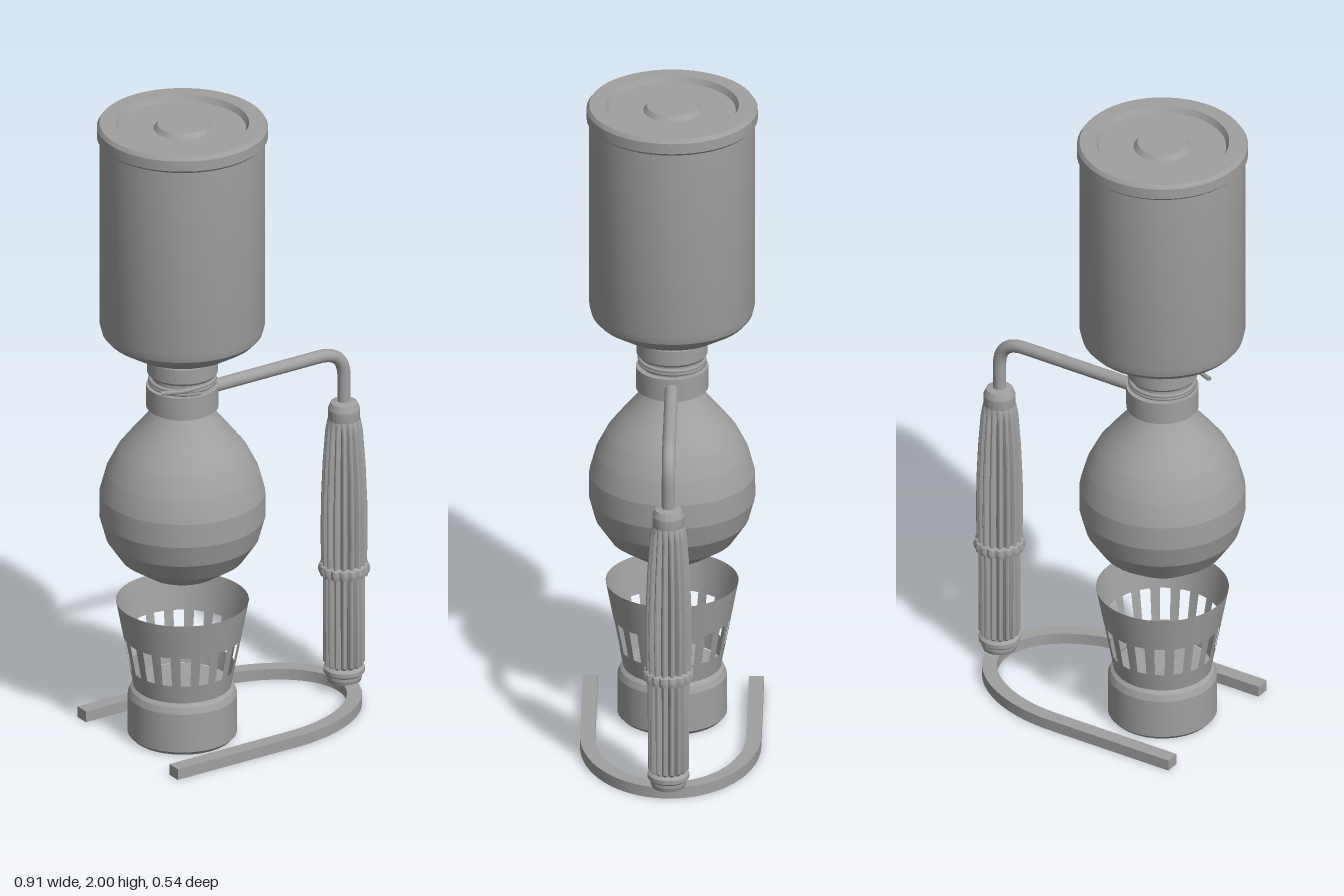
import * as THREE from 'three';
import { toCreasedNormals } from 'three/addons/utils/BufferGeometryUtils.js';

const gray = new THREE.MeshStandardMaterial({ color: 0xa0a0a0, side: THREE.DoubleSide });
gray.name = 'gray';

const AXIS = -0.2; // x of the vessel stack
const HANDLE = 0.377; // x of the handle

function add(parent, name, geometry, x = 0) {
  const mesh = new THREE.Mesh(geometry, gray);
  mesh.name = name;
  mesh.position.x = x;
  parent.add(mesh);
  return mesh;
}

const points = (list) => list.map(([r, y]) => new THREE.Vector2(r, y));

// Turned part; profile runs from bottom to top as [radius, y]
const turned = (profile, crease = 0.3, segments = 48) =>
  toCreasedNormals(new THREE.LatheGeometry(points(profile), segments), crease);

// Turned part with flutes; each profile entry is [radius, y, flute depth]
function fluted(profile, lobes = 16) {
  const geo = new THREE.LatheGeometry(points(profile), lobes * 6);
  const pos = geo.attributes.position;
  for (let i = 0; i < pos.count; i++) {
    const depth = profile[i % profile.length][2];
    const x = pos.getX(i), z = pos.getZ(i), r = Math.hypot(x, z);
    if (r < 1e-4) continue;
    const wave = Math.abs(Math.sin((Math.atan2(x, z) * lobes) / 2));
    const k = 1 - (depth * (1 - wave)) / r;
    pos.setX(i, x * k);
    pos.setZ(i, z * k);
  }
  return toCreasedNormals(geo, 0.5);
}

function createBase() {
  // U-shaped foot: straight legs joined by half an ellipse
  const cx = 0.03, end = -0.395;
  const shape = new THREE.Shape();
  shape.moveTo(end, -0.27);
  shape.lineTo(cx, -0.27);
  shape.absellipse(cx, 0, 0.37, 0.27, -Math.PI / 2, Math.PI / 2, false);
  shape.lineTo(end, 0.27);
  shape.lineTo(end, 0.225);
  shape.lineTo(cx, 0.225);
  shape.absellipse(cx, 0, 0.325, 0.225, Math.PI / 2, -Math.PI / 2, true);
  shape.lineTo(end, -0.225);
  const geo = new THREE.ExtrudeGeometry(shape, { depth: 0.035, bevelEnabled: false, curveSegments: 24 });
  geo.rotateX(-Math.PI / 2);
  return toCreasedNormals(geo, 0.5);
}

function createBurner() {
  const burner = new THREE.Group();
  burner.name = 'burner';
  burner.position.x = AXIS;
  add(burner, 'burnerBase', turned([
    [0, 0], [0.152, 0], [0.163, 0.012], [0.163, 0.135], [0.155, 0.155], [0.14, 0.167], [0, 0.167],
  ]));
  // Flared wind guard with a row of slots
  const radius = (y) => 0.146 + ((y - 0.165) * 0.052) / 0.275;
  const band = (y0, y1, n, start, length) => new THREE.LatheGeometry(
    points([[radius(y0), y0], [radius(y1), y1]]), n, start, length);
  add(burner, 'guardLower', band(0.165, 0.225, 54, 0, Math.PI * 2));
  add(burner, 'guardUpper', band(0.325, 0.44, 54, 0, Math.PI * 2));
  const slots = 18, step = (Math.PI * 2) / slots;
  for (let i = 0; i < slots; i++) {
    add(burner, 'guardBar', band(0.225, 0.325, 2, (i - 0.24) * step, 0.48 * step));
  }
  return burner;
}

function createVessels() {
  const vessels = new THREE.Group();
  vessels.name = 'vessels';
  vessels.position.x = AXIS;
  add(vessels, 'lowerBulb', turned([
    [0, 0.518], [0.06, 0.518], [0.11, 0.535], [0.185, 0.585], [0.229, 0.65], [0.248, 0.72], [0.247, 0.795],
    [0.228, 0.865], [0.195, 0.93], [0.152, 0.985], [0.11, 1.035], [0.092, 1.065], [0.09, 1.09],
  ], 0.22));
  add(vessels, 'clamp', turned([
    [0.085, 1.075], [0.108, 1.075], [0.108, 1.145], [0.085, 1.145],
  ]));
  add(vessels, 'neck', turned([[0.09, 1.14], [0.09, 1.19]]));
  add(vessels, 'collar', turned([
    [0.085, 1.182], [0.1, 1.182], [0.106, 1.19], [0.106, 1.236], [0.098, 1.25], [0.085, 1.255],
  ]));
  // Wire wound round the neck with a loose end
  const coil = [];
  for (let i = 0; i <= 48; i++) {
    const a = (i / 48) * Math.PI * 4 + Math.PI / 2;
    coil.push(new THREE.Vector3(Math.cos(a) * 0.096, 1.152 + (i / 48) * 0.018, Math.sin(a) * 0.096));
  }
  coil.push(new THREE.Vector3(-0.06, 1.17, 0.092), new THREE.Vector3(-0.122, 1.17, 0.07));
  add(vessels, 'neckWire', new THREE.TubeGeometry(new THREE.CatmullRomCurve3(coil), 140, 0.007, 6));
  add(vessels, 'upperVessel', turned([
    [0, 1.25], [0.115, 1.25], [0.165, 1.268], [0.225, 1.305], [0.24, 1.322], [0.247, 1.35], [0.247, 1.95],
  ]));
  add(vessels, 'lid', turned([
    [0, 1.945], [0.245, 1.945], [0.255, 1.955], [0.255, 1.988], [0.247, 2], [0.199, 2],
    [0.19, 1.982], [0.086, 1.982], [0.075, 1.997], [0, 1.997],
  ]));
  return vessels;
}

function createHandle() {
  const handle = new THREE.Group();
  handle.name = 'handle';
  handle.position.x = HANDLE;
  add(handle, 'handleFoot', turned([
    [0, 0.033], [0.05, 0.033], [0.054, 0.045], [0.054, 0.055], [0.062, 0.062], [0.062, 0.075], [0.05, 0.085],
  ]));
  add(handle, 'lowerGrip', fluted([
    [0.05, 0.08, 0], [0.062, 0.092, 0.013], [0.063, 0.36, 0.013], [0.063, 0.39, 0.01],
  ]));
  add(handle, 'gripRing', fluted([
    [0.055, 0.38, 0], [0.075, 0.384, 0.008], [0.078, 0.397, 0.008], [0.075, 0.412, 0.008], [0.06, 0.418, 0],
  ]));
  add(handle, 'upperGrip', fluted([
    [0.068, 0.41, 0.014], [0.07, 0.5, 0.015], [0.069, 0.62, 0.015], [0.064, 0.74, 0.013],
    [0.056, 0.85, 0.01], [0.05, 0.885, 0.003], [0.044, 0.895, 0],
  ]));
  add(handle, 'handleCap', turned([
    [0.044, 0.87], [0.048, 0.89], [0.048, 0.92], [0.04, 0.94], [0.022, 0.945], [0, 0.945],
  ]));
  return handle;
}

function createArm() {
  const V = (x, y) => new THREE.Vector3(x, y, 0);
  const path = new THREE.CurvePath();
  path.add(new THREE.LineCurve3(V(AXIS + 0.1, 1.11), V(0.285, 1.11)));
  path.add(new THREE.CubicBezierCurve3(V(0.285, 1.11), V(0.345, 1.11), V(HANDLE, 1.085), V(HANDLE, 1.02)));
  path.add(new THREE.LineCurve3(V(HANDLE, 1.02), V(HANDLE, 0.93)));
  return new THREE.TubeGeometry(path, 60, 0.02, 16);
}

export function createModel() {
  const model = new THREE.Group();
  model.name = 'siphonBrewer';
  add(model, 'base', createBase());
  model.add(createBurner(), createVessels(), createHandle());
  add(model, 'arm', createArm());
  return model;
}
